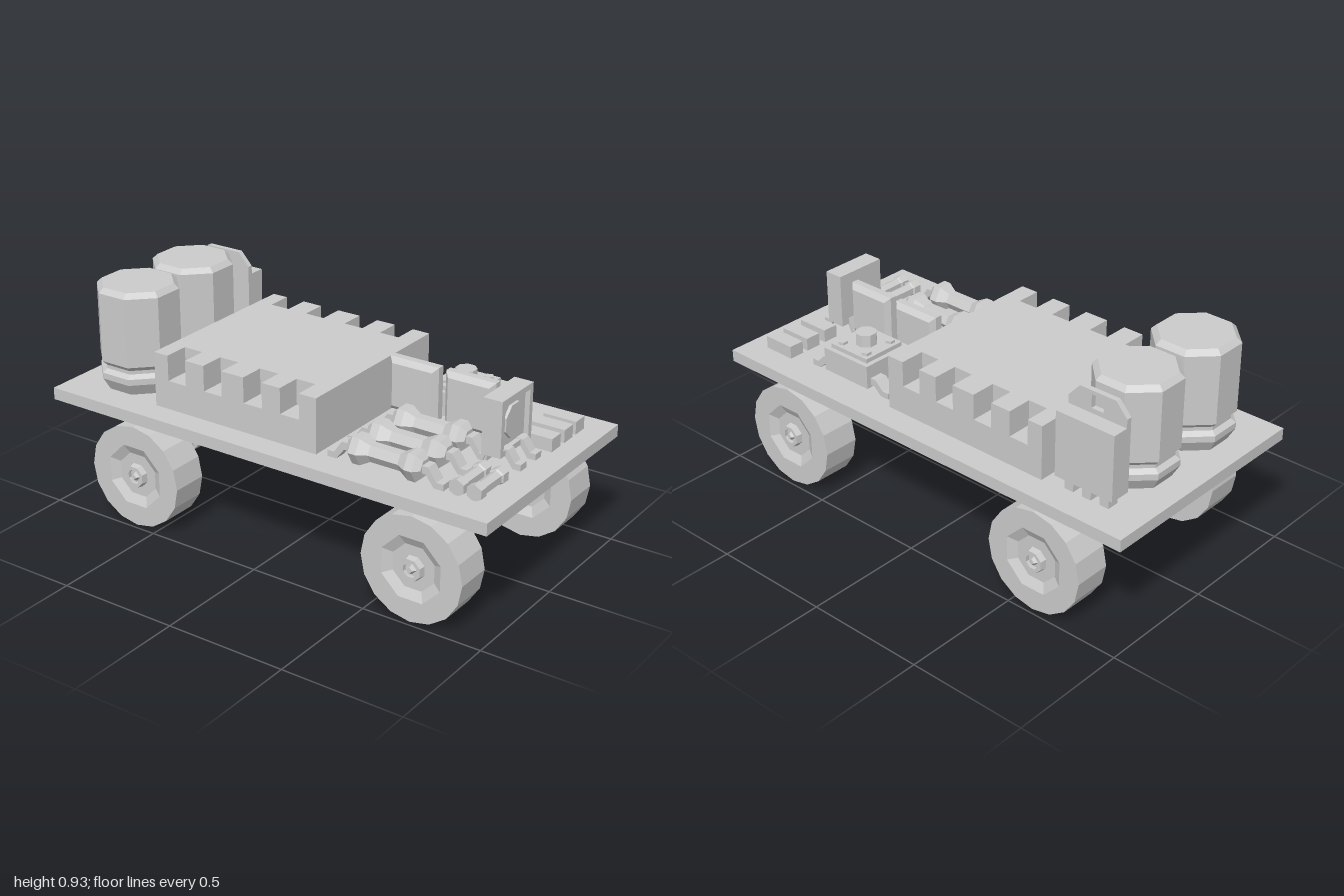
import * as THREE from 'three';
import { ConvexGeometry } from 'three/addons/geometries/ConvexGeometry.js';

const mat = new THREE.MeshStandardMaterial({ color: 0xcccccc, flatShading: true });
const V2 = (a) => a.map(([x, y]) => new THREE.Vector2(x, y));

export function createModel() {
  const root = new THREE.Group();

  const add = (name, geo, x = 0, y = 0, z = 0, parent = root) => {
    const m = new THREE.Mesh(geo, mat);
    m.name = name;
    m.position.set(x, y, z);
    parent.add(m);
    return m;
  };
  // box given by its ranges
  const box = (name, x0, x1, y0, y1, z0, z1, parent = root) =>
    add(name, new THREE.BoxGeometry(x1 - x0, y1 - y0, z1 - z0), (x0 + x1) / 2, (y0 + y1) / 2, (z0 + z1) / 2, parent);
  const lathe = (pts, n, start = 0) => new THREE.LatheGeometry(V2(pts), n, start);
  const extrude = (pts, depth, hole, bevel = 0) => {
    const s = new THREE.Shape(V2(pts));
    if (hole) s.holes.push(new THREE.Path(V2(hole)));
    return new THREE.ExtrudeGeometry(s, {
      depth, bevelEnabled: bevel > 0, bevelThickness: bevel, bevelSize: bevel, bevelOffset: -bevel, bevelSegments: 1,
    });
  };
  const ring = (r, n, start = 0) =>
    Array.from({ length: n }, (_, i) => {
      const a = start + (i / n) * Math.PI * 2;
      return [r * Math.cos(a), r * Math.sin(a)];
    });
  const square = (h) => [[-h, -h], [h, -h], [h, h], [-h, h]];

  // bent solder leg running outwards along z
  const leg = (x, z, dir, w, len, h, parent = root) => {
    const g = extrude([[0, h - 0.03], [len * 0.25, h - 0.03], [len * 0.6, 0], [len, 0],
      [len, 0.025], [len * 0.7, 0.025], [len * 0.35, h], [0, h]], w);
    g.translate(0, 0, -w / 2);
    add('solderLeg', g, x, 0.5, z, parent).rotation.y = -dir * Math.PI / 2;
  };

  // circuit board deck and chassis
  box('deck', -0.49, 0.49, 0.45, 0.5, -1, 1);
  box('chassisSpine', -0.2, 0.2, 0.355, 0.45, -0.6, 0.69);

  for (const z of [0.69, -0.6]) {
    const beam = extrude([[-0.32, 0.45], [-0.32, 0.35], [-0.21, 0.24], [0.2, 0.24], [0.3, 0.35], [0.3, 0.45]], 0.14);
    add('axleBeam', beam, 0, 0, z - 0.07);
    // faceted bulge in the middle of the axle
    const pts = [];
    for (const sx of [-1, 1]) for (const sz of [-1, 1]) {
      for (const [x, y, d] of [[0.1, 0.45, 0.135], [0.1, 0.35, 0.135], [0.2, 0.45, 0.07], [0.2, 0.24, 0.07]]) {
        pts.push(new THREE.Vector3(sx * x, y, sz * d));
      }
    }
    add('axleHousing', new ConvexGeometry(pts), 0, 0, z);

    for (const side of [-1, 1]) {
      const wheel = new THREE.Group();
      wheel.name = 'wheel';
      wheel.position.set(side * 0.325, 0.215, z);
      wheel.rotation.z = -side * Math.PI / 2;
      root.add(wheel);
      const tyre = extrude(ring(0.215, 16), 0.155, ring(0.135, 8, Math.PI / 8));
      tyre.rotateX(-Math.PI / 2);
      add('tyre', tyre, 0, 0, 0, wheel);
      add('rimDish', lathe([[0, 0.02], [0.095, 0.02], [0.135, 0], [0.135, 0.155], [0.095, 0.135], [0.05, 0.135],
        [0.045, 0.16], [0.03, 0.16], [0.03, 0.145], [0, 0.145]], 8, Math.PI / 8), 0, 0, 0, wheel);
      add('axleNut', new THREE.CylinderGeometry(0.012, 0.024, 0.02, 4), 0, 0.152, 0, wheel);
    }
  }

  // large chip with notched long sides
  box('chipBase', -0.385, 0.385, 0.5, 0.62, -0.555, 0.21);
  const notches = [-0.445, -0.27, -0.08, 0.09];
  const right = [];
  for (const c of notches) right.push([0.385, c - 0.043], [0.28, c - 0.043], [0.28, c + 0.043], [0.385, c + 0.043]);
  const left = right.map(([x, z]) => [-x, z]).reverse();
  const chipTop = extrude([[-0.385, -0.555], [0.385, -0.555], ...right, [0.385, 0.21], [-0.385, 0.21], ...left]
    .map(([x, z]) => [x, -z]).reverse(), 0.105);
  chipTop.rotateX(-Math.PI / 2);
  add('chipTop', chipTop, 0, 0.62, 0);

  // two tall octagonal cans
  const k = 1 / Math.cos(Math.PI / 8);
  const canProfile = [[0, 0.5], [0.13, 0.5], [0.157, 0.55], [0.157, 0.575], [0.138, 0.59], [0.138, 0.605],
    [0.157, 0.625], [0.157, 0.91], [0.137, 0.93], [0, 0.93]].map(([r, y]) => [r * k, y]);
  for (const x of [-0.235, 0.105]) add('can', lathe(canProfile, 8, Math.PI / 8), x, 0, -0.755);

  // upright power transistor with a pierced metal tab
  box('transistorBody', 0.3, 0.39, 0.55, 0.82, -0.88, -0.62);
  const tab = extrude([[-0.13, 0.82], [0.13, 0.82], [0.13, 0.855], [0.08, 0.91], [-0.08, 0.91], [-0.13, 0.855]], 0.022,
    square(0.027).map(([x, y]) => [x, y + 0.867]));
  tab.rotateY(Math.PI / 2);
  add('transistorTab', tab, 0.3, 0, -0.75);
  for (const z of [-0.83, -0.75, -0.67]) box('transistorPin', 0.32, 0.37, 0.5, 0.55, z - 0.02, z + 0.02);

  // dog-bone resistors lying along z
  const bone = (len, r, waist) => lathe([[0, -len], [r * 0.6, -len], [r, -len * 0.85], [r, -len * 0.65], [waist, -len * 0.4],
    [waist, len * 0.4], [r, len * 0.65], [r, len * 0.85], [r * 0.6, len], [0, len]], 6, Math.PI / 6);
  for (const [x, len] of [[-0.345, 0.16], [-0.2, 0.17], [-0.045, 0.16]]) {
    add('resistor', bone(len, 0.061, 0.038), x, 0.557, 0.5).rotation.x = Math.PI / 2;
    for (const d of [-1, 1]) leg(x, 0.5 + d * (len - 0.01), d, 0.05, 0.1, 0.075);
  }
  // two small diodes lying along x
  for (const z of [0.803, 0.875]) {
    const g = lathe([[0, -0.095], [0.034, -0.095], [0.034, -0.06], [0.027, -0.055],
      [0.027, 0.055], [0.034, 0.06], [0.034, 0.095], [0, 0.095]], 6, Math.PI / 6);
    add('diode', g, -0.275, 0.529, z).rotation.z = Math.PI / 2;
  }

  // thin square capacitors standing on edge
  for (const z of [0.353, 0.6]) {
    const g = extrude(square(0.108), 0.03, null, 0.02);
    g.translate(0, 0, -0.015);
    add('plateCapacitor', g, 0.07, 0.645, z).rotation.y = Math.PI / 2;
    for (const d of [-0.06, 0.06]) box('capacitorPin', 0.055, 0.085, 0.5, 0.55, z + d - 0.015, z + d + 0.015);
  }

  // upright front sensor with a recessed face
  box('sensorBack', -0.112, 0.112, 0.545, 0.77, 0.75, 0.81);
  add('sensorFrame', extrude(square(0.112), 0.02, square(0.09)), 0, 0.658, 0.81);
  add('sensorLens', extrude(ring(0.07, 8, Math.PI / 8), 0.012), 0, 0.658, 0.81);
  for (const x of [-0.055, 0.055]) {
    leg(x, 0.81, 1, 0.042, 0.085, 0.07);
    leg(x, 0.765, -1, 0.042, 0.05, 0.07);
  }

  // push button
  const button = new THREE.Group();
  button.name = 'pushButton';
  root.add(button);
  box('buttonBody', 0.137, 0.37, 0.52, 0.617, 0.345, 0.58, button);
  box('buttonPlate', 0.157, 0.35, 0.617, 0.635, 0.365, 0.56, button);
  add('buttonCap', new THREE.CylinderGeometry(0.043, 0.045, 0.06, 8, 1, false, Math.PI / 8), 0.254, 0.655, 0.462, button);
  for (const dx of [-1, 1]) for (const dz of [-1, 1]) {
    add('buttonRivet', new THREE.CylinderGeometry(0.02, 0.02, 0.012, 5), 0.254 + dx * 0.065, 0.64, 0.462 + dz * 0.065, button);
    leg(0.25 + dx * 0.073, 0.462 + dz * 0.11, dz, 0.055, 0.1, 0.06, button);
  }

  // small surface-mounted blocks
  for (const x of [0.162, 0.258, 0.348]) box('smallBlock', x - 0.033, x + 0.033, 0.5, 0.553, 0.77, 0.91);

  return root;
}
